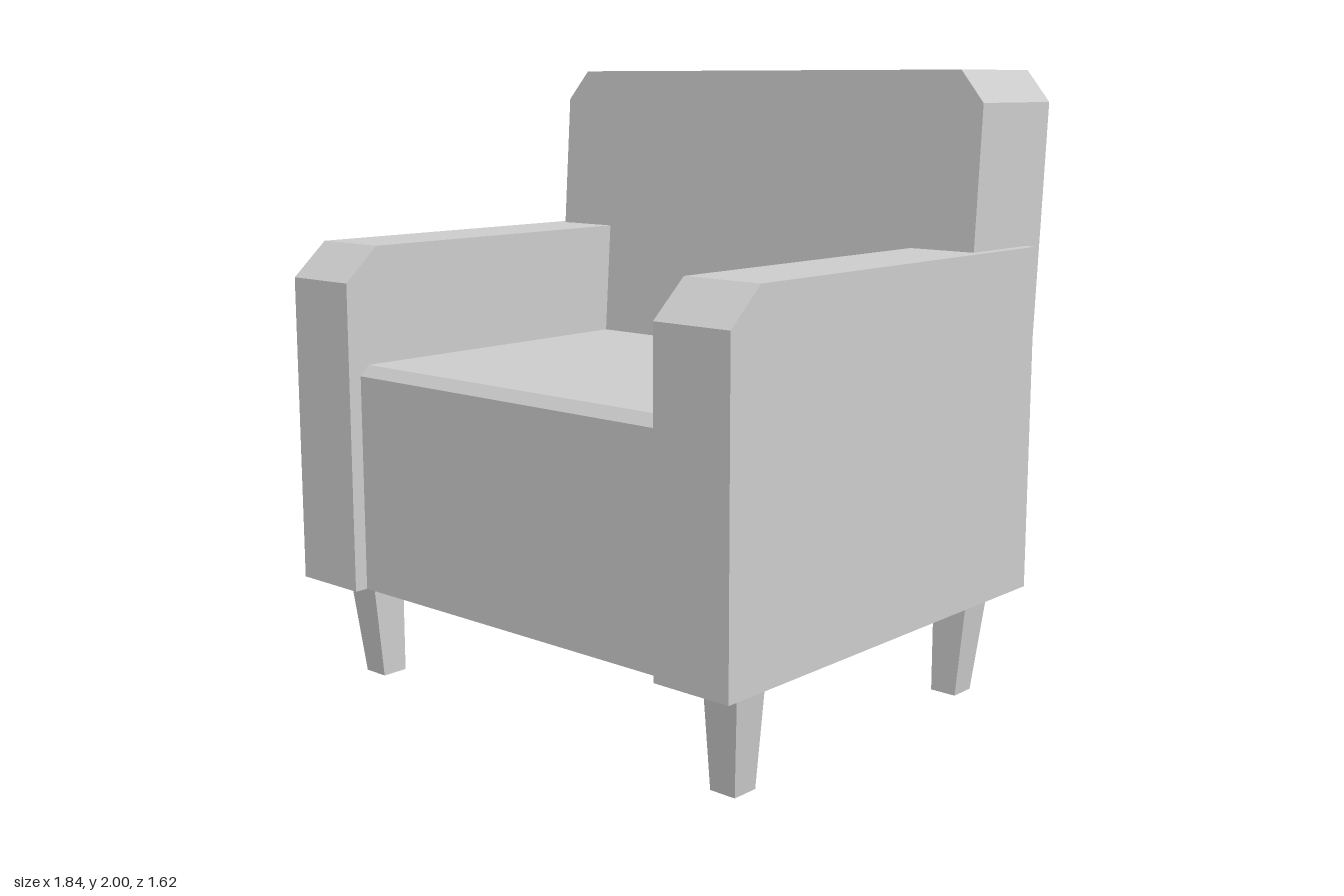
import * as THREE from 'three';

const material = new THREE.MeshStandardMaterial({ color: 0xcccccc, flatShading: true });
const BASE = 0.34; // underside of the upholstery

function addMesh(parent, name, geometry) {
  const mesh = new THREE.Mesh(geometry, material);
  mesh.name = name;
  parent.add(mesh);
  return mesh;
}

function shapeFrom(points) {
  return new THREE.Shape(points.map(([x, y]) => new THREE.Vector2(x, y)));
}

// Extrude a side profile of [z, y] points from x0 to x1
function sideProfile(points, x0, x1) {
  const geometry = new THREE.ExtrudeGeometry(shapeFrom(points.map(([z, y]) => [-z, y])), {
    depth: x1 - x0, bevelEnabled: false,
  });
  geometry.rotateY(Math.PI / 2);
  geometry.translate(x0, 0, 0);
  return geometry;
}

// Backrest: front outline with cut corners, sheared so it leans backwards
function backrestGeometry() {
  const outline = [[-0.883, BASE], [0.883, BASE], [0.883, 1.9], [0.797, 2], [-0.797, 2], [-0.883, 1.9]];
  const geometry = new THREE.ExtrudeGeometry(shapeFrom(outline), { depth: 0.387, bevelEnabled: false });
  const p = geometry.attributes.position;
  for (let i = 0; i < p.count; i++) {
    p.setZ(i, p.getZ(i) - 0.693 - (p.getY(i) - BASE) * 0.069);
  }
  geometry.computeVertexNormals();
  return geometry;
}

// Leg: straight inner faces, outer faces tapering in by the foot.
// Origin is the inner corner; sx and sz point outwards.
function legGeometry(sx, sz) {
  const top = 0.125, foot = 0.09;
  const geometry = new THREE.BoxGeometry(1, BASE, 1);
  const p = geometry.attributes.position;
  for (let i = 0; i < p.count; i++) {
    const size = p.getY(i) > 0 ? top : foot;
    p.setXYZ(i,
      p.getX(i) * sx > 0 ? sx * size : 0,
      p.getY(i) + BASE / 2,
      p.getZ(i) * sz > 0 ? sz * size : 0);
  }
  geometry.computeVertexNormals();
  return geometry;
}

export function createModel() {
  const chair = new THREE.Group();
  chair.name = 'armchair';

  addMesh(chair, 'backrest', backrestGeometry());

  // Seat block with a small bevel along its front edge
  addMesh(chair, 'seat', sideProfile(
    [[-0.4, BASE], [0.765, BASE], [0.765, 1.04], [0.733, 1.073], [-0.4, 1.073]], -0.655, 0.655));

  // Arms with a bevelled front top edge
  const armProfile = [[-0.685, BASE], [0.81, BASE], [0.81, 1.34], [0.687, 1.45], [-0.685, 1.45]];
  addMesh(chair, 'leftArm', sideProfile(armProfile, 0.652, 0.92));
  addMesh(chair, 'rightArm', sideProfile(armProfile, -0.92, -0.652));

  // Four tapered legs
  for (const sx of [1, -1]) {
    for (const sz of [1, -1]) {
      const name = (sz > 0 ? 'front' : 'back') + (sx > 0 ? 'Left' : 'Right') + 'Leg';
      const leg = addMesh(chair, name, legGeometry(sx, sz));
      leg.position.set(sx * 0.72, 0, sz > 0 ? 0.56 : -0.46);
    }
  }
  return chair;
}
